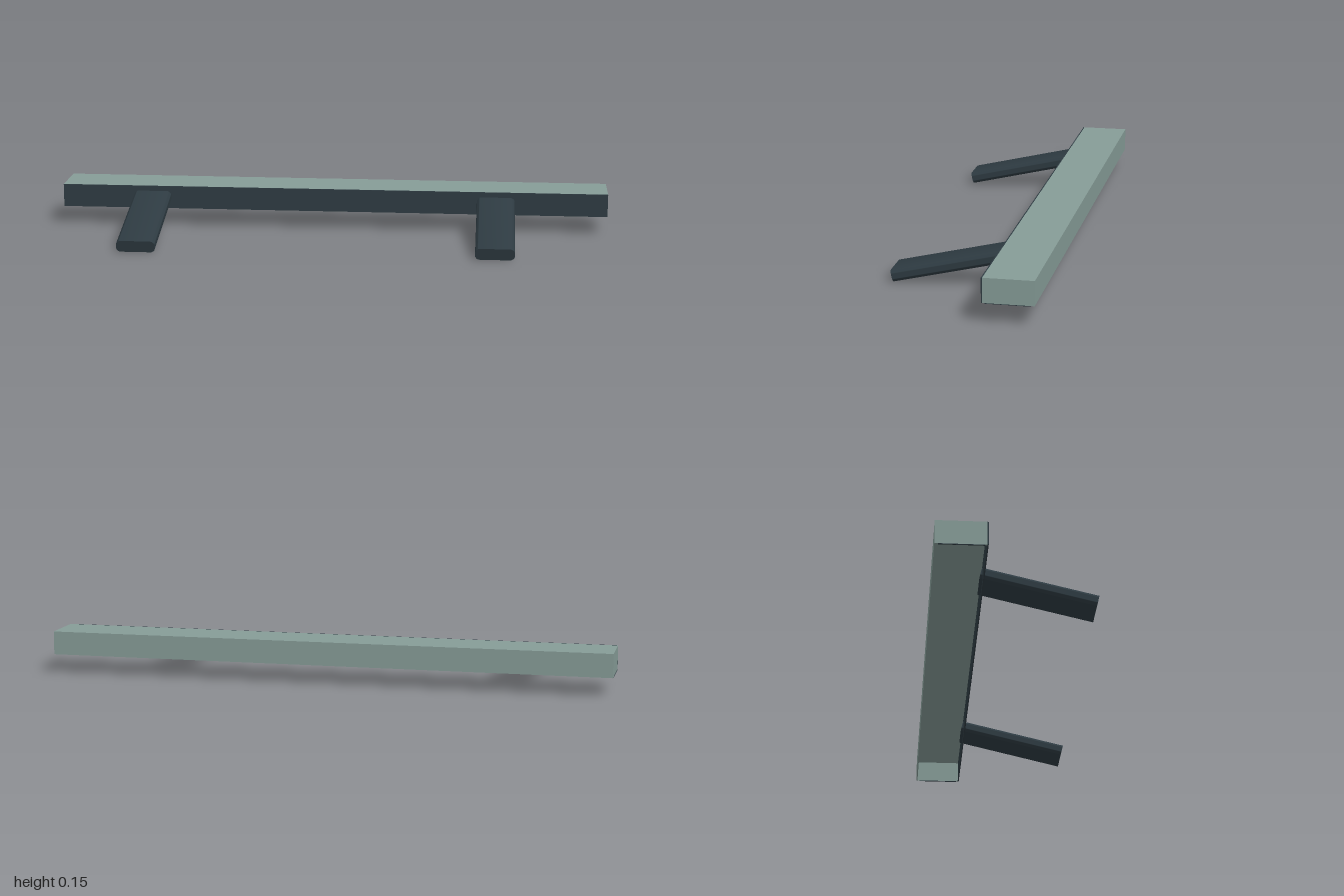
import * as THREE from 'three';
import { toCreasedNormals } from 'three/addons/utils/BufferGeometryUtils.js';

const glass = new THREE.MeshStandardMaterial({ color: 0x869c97 });
glass.name = 'pale grey green';
const dark = new THREE.MeshStandardMaterial({ color: 0x2e3b42 });
dark.name = 'dark slate';

// Box given by its minimum and maximum corners
function slab(name, material, min, max) {
  const size = max.map((v, i) => v - min[i]);
  const mesh = new THREE.Mesh(new THREE.BoxGeometry(...size), material);
  mesh.position.set(...max.map((v, i) => (v + min[i]) / 2));
  mesh.name = name;
  return mesh;
}

// Flat bar with rounded long edges, running from z = 0 to z = -length
function armGeometry(width, height, radius, length) {
  const x = width / 2, y = height / 2, r = radius;
  const s = new THREE.Shape();
  s.absarc(x - r, y - r, r, 0, Math.PI / 2);
  s.absarc(-x + r, y - r, r, Math.PI / 2, Math.PI);
  s.absarc(-x + r, -y + r, r, Math.PI, Math.PI * 1.5);
  s.absarc(x - r, -y + r, r, Math.PI * 1.5, Math.PI * 2);
  s.closePath();
  const g = new THREE.ExtrudeGeometry(s, { depth: length, bevelEnabled: false, curveSegments: 6 });
  g.translate(0, 0, -length);
  return toCreasedNormals(g, 0.6);
}

export function createModel() {
  const model = new THREE.Group();
  const bottom = 0.07, top = 0.153, front = -0.105, back = -0.277, t = 0.004;

  // Long housing, open underneath
  const housing = new THREE.Group();
  housing.name = 'housing';
  housing.add(
    slab('topPanel', glass, [-1, top - t, back], [1, top, front - t]),
    slab('backPanel', glass, [-1, bottom, back], [1, top - t, back + t]),
    slab('frontPanel', dark, [-1, bottom, front - t], [1, top, front])
  );
  for (const side of [-1, 1]) {
    const a = side < 0 ? -1 : 1 - t;
    housing.add(slab('endPanel', glass, [a, bottom, back + t], [a + t, top - t, front - t]));
    // Thin dark lip under each end
    housing.add(slab('endLip', dark, [a, bottom - 0.002, back + 0.012], [a + t, bottom, front - 0.012]));
  }
  model.add(housing);

  // Two sloping support arms
  const geometry = armGeometry(0.138, 0.043, 0.017, 0.397);
  for (const x of [-0.667, 0.595]) {
    const arm = new THREE.Mesh(geometry, dark);
    arm.name = 'supportArm';
    arm.position.set(x, 0.024, 0.272);
    arm.rotation.x = 0.23;
    model.add(arm);
  }
  return model;
}
